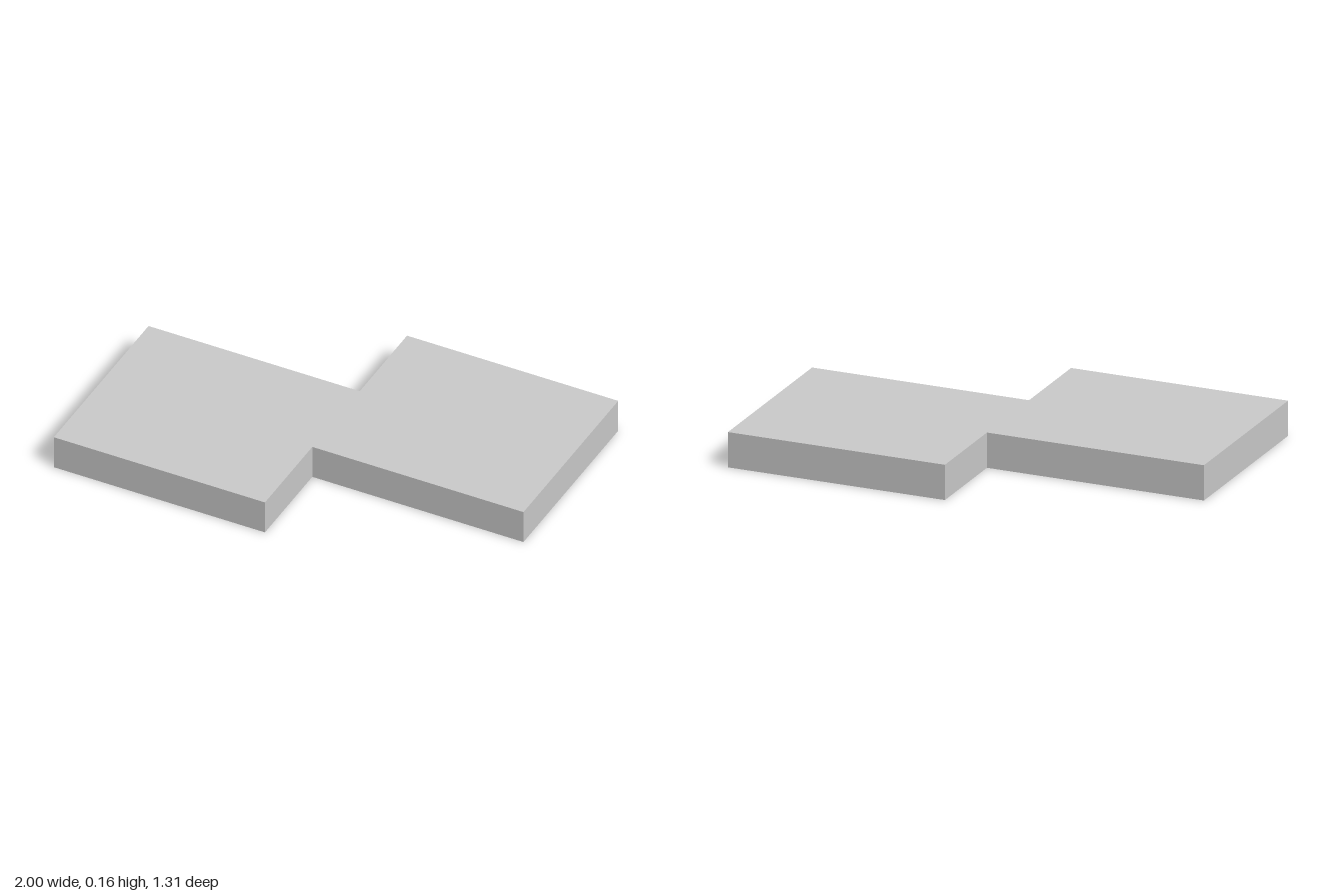
import * as THREE from 'three';

const HEIGHT = 0.158;
const OUTER = 0.656; // half depth of the whole plate
const INNER = 0.219; // half depth of the overlap between the two halves

export function createModel() {
  const group = new THREE.Group();
  group.name = 'steppedPlate';

  // Half of the outline; the other half is the same turned by 180 degrees
  const half = [[-1, -OUTER], [0, -OUTER], [0, -INNER], [1, -INNER]];
  const outline = [...half, ...half.map(([x, y]) => [-x, -y])];
  const shape = new THREE.Shape(outline.map(([x, y]) => new THREE.Vector2(x, y)));

  // Flat slab, extruded upwards from the ground
  const geometry = new THREE.ExtrudeGeometry(shape, { depth: HEIGHT, bevelEnabled: false });
  geometry.rotateX(-Math.PI / 2);

  const plate = new THREE.Mesh(
    geometry,
    new THREE.MeshStandardMaterial({ color: 0xcccccc, flatShading: true })
  );
  plate.name = 'plate';
  group.add(plate);
  return group;
}
